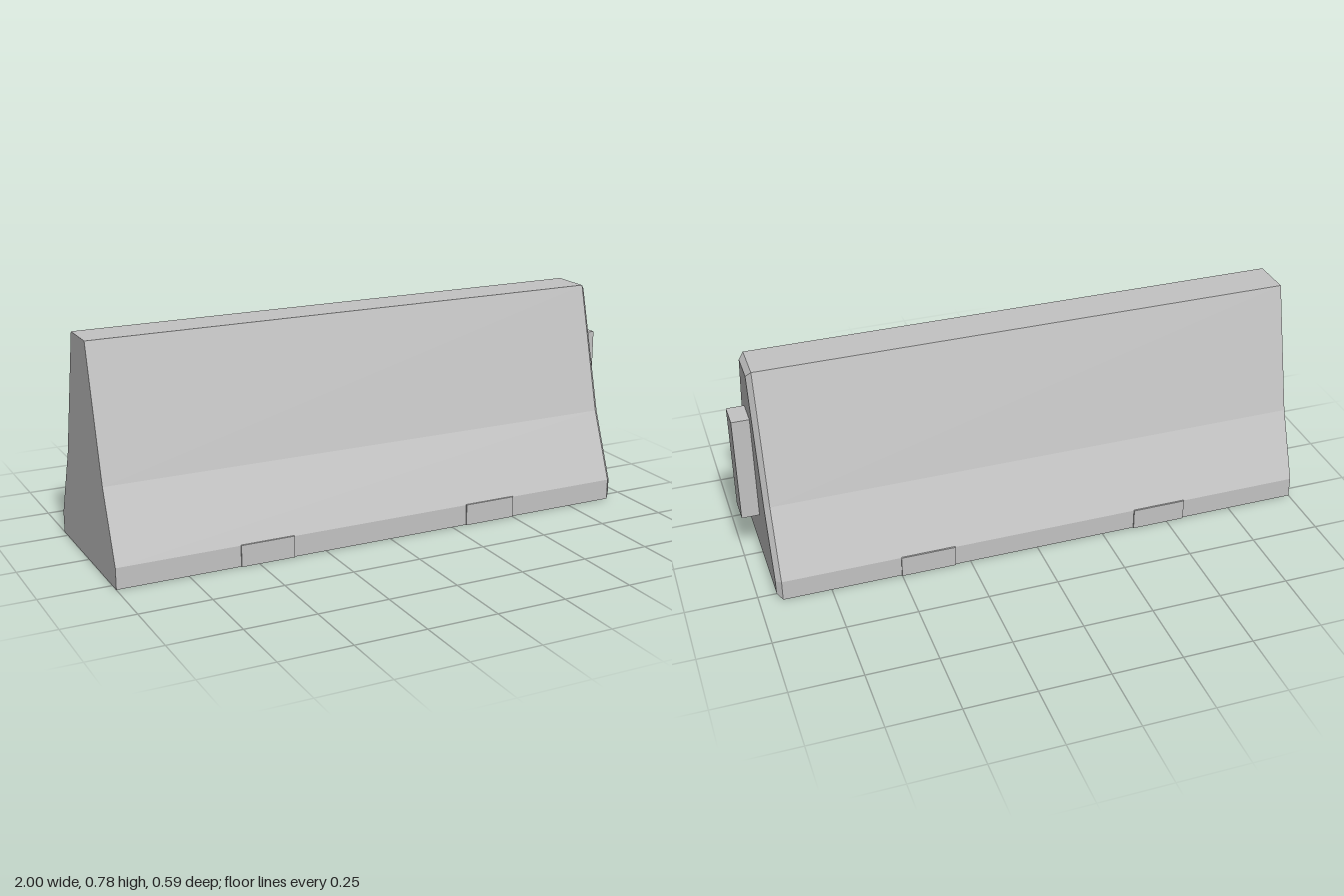
import * as THREE from 'three';

// Half profiles from bottom to top as [z, y]
const FULL = [[0.29, 0], [0.29, 0.075], [0.193, 0.32], [0.073, 0.777]];
const INSET = [[0.272, 0.02], [0.272, 0.07], [0.176, 0.315], [0.058, 0.758]];

// Symmetric body lofted along x through sections { x, half }, closed at both ends
function loftBody(sections) {
  const positions = [];
  const quad = (a, b, c, d) => positions.push(...a, ...b, ...c, ...a, ...c, ...d);
  const rings = sections.map(({ x, half }) => [
    ...half.map(([z, y]) => [x, y, z]),
    ...half.slice().reverse().map(([z, y]) => [x, y, -z]),
  ]);
  const n = rings[0].length;
  for (let s = 0; s < rings.length - 1; s++) {
    const a = rings[s], b = rings[s + 1];
    for (let i = 0; i < n; i++) {
      const j = (i + 1) % n;
      quad(a[i], b[i], b[j], a[j]);
    }
  }
  // End faces as strips between matching heights
  const first = rings[0], last = rings[rings.length - 1];
  for (let i = 0; i < n / 2 - 1; i++) {
    const k = n - 1 - i;
    quad(last[i], last[k], last[k - 1], last[i + 1]);
    quad(first[k], first[i], first[i + 1], first[k - 1]);
  }
  const geometry = new THREE.BufferGeometry();
  geometry.setAttribute('position', new THREE.Float32BufferAttribute(positions, 3));
  geometry.computeVertexNormals();
  return geometry;
}

export function createModel() {
  const group = new THREE.Group();
  group.name = 'roadBarrier';

  const concrete = new THREE.MeshStandardMaterial({ color: 0xc2c2c2 });
  concrete.name = 'concrete grey';

  const add = (name, geometry, x = 0, y = 0, z = 0) => {
    const mesh = new THREE.Mesh(geometry, concrete);
    mesh.name = name;
    mesh.position.set(x, y, z);
    group.add(mesh);
  };

  // Sloped body, flat at one end and chamfered at the other
  add('barrierBody', loftBody([
    { x: -1, half: FULL },
    { x: 0.92, half: FULL },
    { x: 0.938, half: INSET },
  ]));

  // Connecting tongue on the chamfered end
  add('connectorTongue', new THREE.BoxGeometry(0.07, 0.39, 0.096), 0.965, 0.39, 0);

  // Thin pads over the foot, two on each side
  for (const side of [1, -1]) {
    for (const x of [-0.467, 0.403]) {
      add('footPad', new THREE.BoxGeometry(0.195, 0.077, 0.008), x, 0.0385, side * 0.291);
    }
  }

  return group;
}
